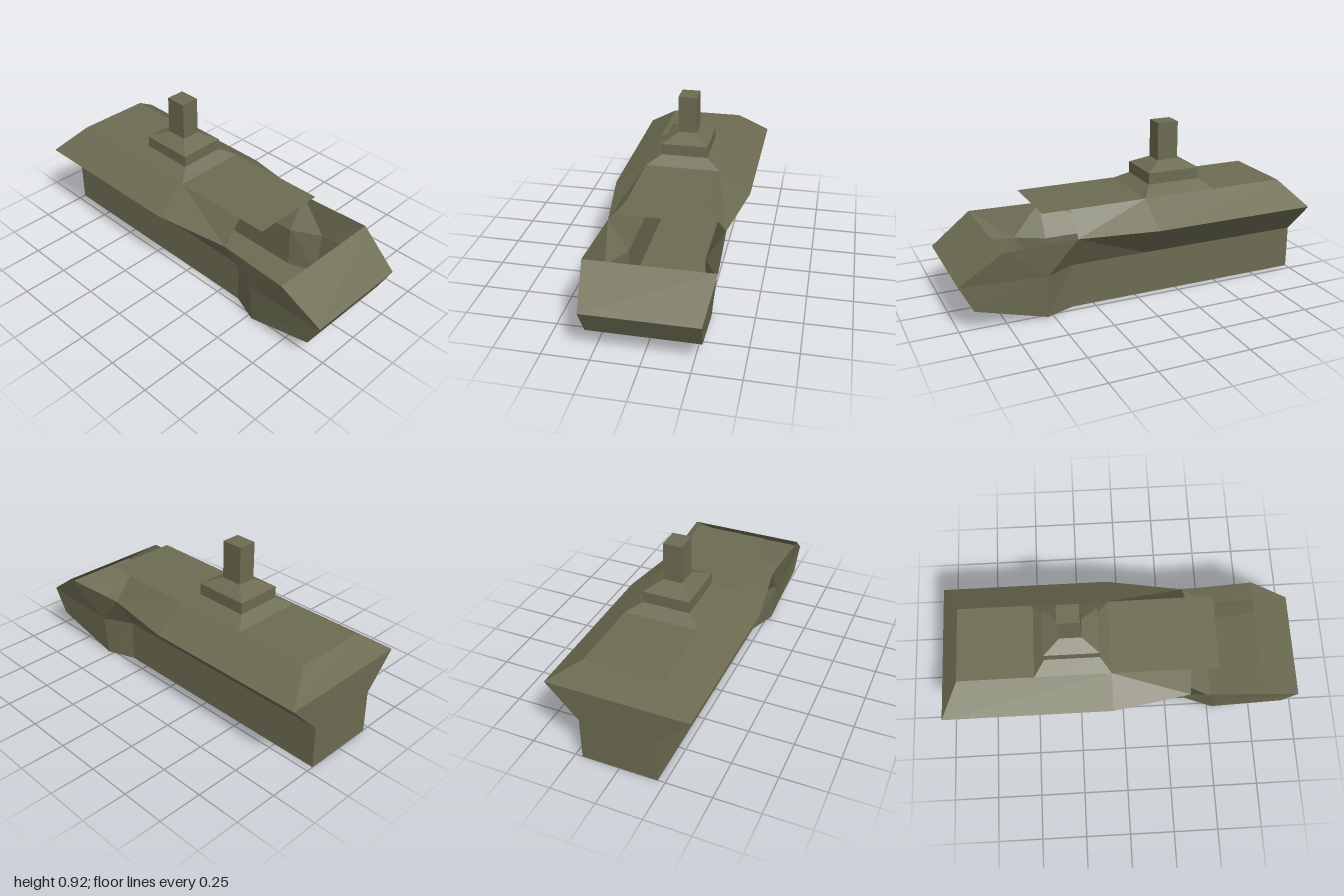
import * as THREE from 'three';

const olive = new THREE.MeshStandardMaterial({ color: 0x6c6b51, side: THREE.DoubleSide, flatShading: true });
olive.name = 'olive drab';

const mirror = (p) => [-p[0], p[1], p[2]];

// Flat-sided mesh from convex polygons, corners counter-clockwise from outside
function panels(name, polygons) {
  const pos = [];
  for (const poly of polygons) {
    for (let i = 1; i < poly.length - 1; i++) pos.push(...poly[0], ...poly[i], ...poly[i + 1]);
  }
  const geo = new THREE.BufferGeometry();
  geo.setAttribute('position', new THREE.Float32BufferAttribute(pos, 3));
  geo.computeVertexNormals();
  const mesh = new THREE.Mesh(geo, olive);
  mesh.name = name;
  return mesh;
}

// Full-width plates joining each point of a left-hand edge line to its mirror
function spans(name, line) {
  const polys = [];
  for (let i = 0; i < line.length - 1; i++) {
    const a = line[i], b = line[i + 1];
    polys.push([mirror(a), a, b, mirror(b)]);
  }
  return panels(name, polys);
}

// Left panels plus their mirrored right copies
function bothSides(name, polygons) {
  const right = polygons.map((poly) => poly.map(mirror).reverse());
  return panels(name, [...polygons, ...right]);
}

// Stack of rectangular sections [halfX, halfZ, y], closed on top
function stack(name, z, sections) {
  const ring = ([hx, hz, y]) => [[-hx, y, z + hz], [hx, y, z + hz], [hx, y, z - hz], [-hx, y, z - hz]];
  const polys = [];
  for (let i = 0; i < sections.length - 1; i++) {
    const lo = ring(sections[i]), hi = ring(sections[i + 1]);
    for (let k = 0; k < 4; k++) {
      const n = (k + 1) % 4;
      polys.push([lo[k], lo[n], hi[n], hi[k]]);
    }
  }
  polys.push(ring(sections[sections.length - 1]));
  return panels(name, polys);
}

export function createModel() {
  const model = new THREE.Group();
  model.name = 'armouredVehicle';

  // Hull corner points on the left side
  const floorRear = [0.21, 0, -1], floorMid = [0.21, 0, 0.37], floorFront = [0.272, 0, 0.53];
  const chin = [0.292, 0.12, 0.925], nose = [0.3, 0.267, 1], brow = [0.337, 0.428, 0.775];
  const waistRear = [0.21, 0.243, -1], waistMid = [0.21, 0.243, -0.06];
  const waistFore = [0.21, 0.243, 0.37], waistFront = [0.296, 0.243, 0.53];
  const rimRear = [0.387, 0.43, -1], rimMid = [0.387, 0.43, -0.06], rimFore = [0.316, 0.428, 0.37];
  const deckRear = [0.21, 0.555, -0.9], deckMid = [0.21, 0.555, -0.06];
  const deckFore = [0.21, 0.555, 0.37], deckFront = [0.21, 0.555, 0.525];

  // Floor, nose and sloping front plate
  model.add(spans('floorAndNose', [floorRear, floorMid, floorFront, chin, nose, brow]));

  // Roof overhanging the open windscreen, then the tail
  model.add(spans('roofAndTail', [deckFront, deckRear, rimRear, waistRear, floorRear]));

  // Lower side walls, flaring out at the bow
  model.add(bothSides('lowerSide', [
    [floorMid, floorRear, waistRear, waistFore],
    [floorFront, floorMid, waistFore, waistFront],
    [chin, floorFront, waistFront, nose],
  ]));

  // Sponson undersides and bow cheeks
  model.add(bothSides('sponson', [
    [waistMid, waistRear, rimRear, rimMid],
    [waistMid, rimMid, rimFore],
    [waistFore, waistMid, rimFore],
    [waistFront, waistFore, rimFore],
    [waistFront, rimFore, brow],
    [nose, waistFront, brow],
  ]));

  // Sloping upper sides, leaving the side windows open at the front
  model.add(bothSides('upperSide', [
    [rimMid, rimRear, deckRear, deckMid],
    [rimFore, rimMid, deckMid],
    [rimFore, deckMid, deckFore],
  ]));

  // Stepped turret and mast
  model.add(stack('turret', -0.27, [
    [0.21, 0.21, 0.555], [0.13, 0.15, 0.602], [0.13, 0.15, 0.666], [0.052, 0.06, 0.709],
  ]));
  model.add(stack('mast', -0.27, [[0.052, 0.06, 0.709], [0.052, 0.06, 0.92]]));

  return model;
}
